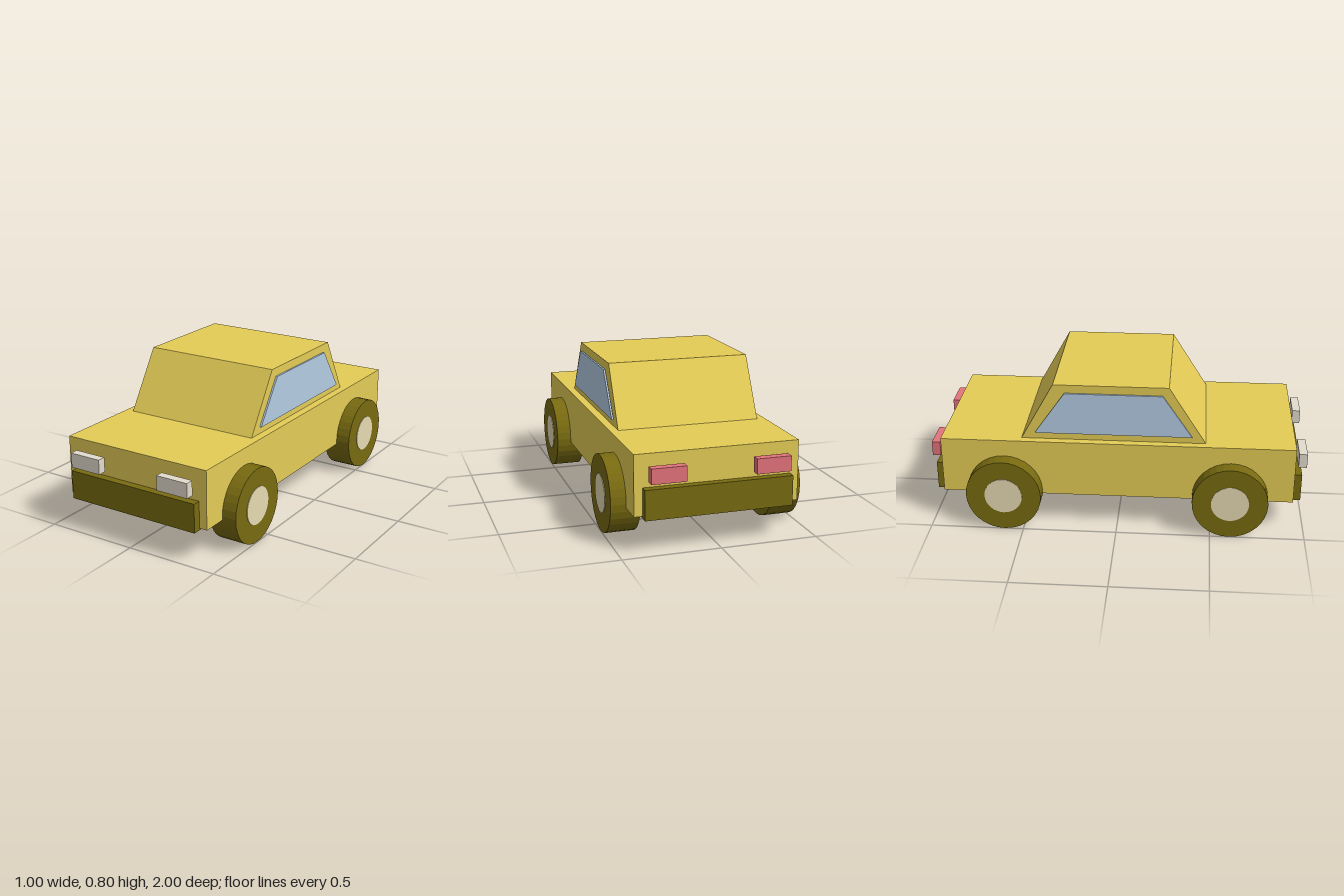
import * as THREE from 'three';

const mat = (name, color, flatShading = false) => {
  const m = new THREE.MeshStandardMaterial({ color, flatShading });
  m.name = name;
  return m;
};

export function createModel() {
  const paint = mat('yellow paint', 0xe4cc56);
  const dark = mat('dark olive', 0x786a10, true);
  const hubMat = mat('cream hub', 0xe6dab2);
  const glass = mat('pale blue glass', 0xb4cce4);
  const lampWhite = mat('white lamp', 0xe3dccd);
  const lampRed = mat('red lamp', 0xe2737a);

  const car = new THREE.Group();
  car.name = 'car';

  const add = (name, geometry, material, x = 0, y = 0, z = 0) => {
    const mesh = new THREE.Mesh(geometry, material);
    mesh.name = name;
    mesh.position.set(x, y, z);
    car.add(mesh);
    return mesh;
  };

  // Side outline given as [z, y] points, extruded across x from x0 to x1
  const sidePrism = (points, x0, x1) => {
    const shape = new THREE.Shape(points.map(([z, y]) => new THREE.Vector2(-z, y)));
    const g = new THREE.ExtrudeGeometry(shape, { depth: x1 - x0, bevelEnabled: false });
    g.rotateY(Math.PI / 2);
    g.translate(x0, 0, 0);
    return g;
  };

  // Lower body and tapered cabin
  add('body', new THREE.BoxGeometry(0.842, 0.31, 1.868), paint, 0, 0.335, 0);
  add('cabin', sidePrism([[0.467, 0.485], [-0.511, 0.485], [-0.335, 0.801], [0.267, 0.801]], -0.378, 0.378), paint);

  // Side windows
  const pane = [[0.392, 0.528], [-0.435, 0.528], [-0.275, 0.758], [0.235, 0.758]];
  add('leftWindow', sidePrism(pane, 0.3815, 0.391), glass);
  add('rightWindow', sidePrism(pane, -0.391, -0.3815), glass);

  // Bumpers and lamps at both ends
  for (const end of [1, -1]) {
    const front = end > 0;
    add(front ? 'frontBumper' : 'rearBumper', new THREE.BoxGeometry(0.756, 0.153, 0.066), dark, 0, 0.2465, end * 0.943);
    for (const side of [1, -1]) {
      add(front ? 'headlight' : 'tailLight', new THREE.BoxGeometry(0.178, 0.078, 0.044),
        front ? lampWhite : lampRed, side * 0.266, 0.394, end * 0.978);
    }
  }

  // Wheels with hubs that stand just proud of both tyre faces
  const tyre = new THREE.CylinderGeometry(0.2, 0.2, 0.152, 32).rotateZ(Math.PI / 2);
  const hub = new THREE.CylinderGeometry(0.1, 0.1, 0.158, 32).rotateZ(Math.PI / 2);
  for (const end of [1, -1]) {
    for (const side of [1, -1]) {
      const label = (end > 0 ? 'front' : 'rear') + (side > 0 ? 'Left' : 'Right');
      add(label + 'Tyre', tyre, dark, side * 0.423, 0.2, end * 0.6);
      add(label + 'Hub', hub, hubMat, side * 0.423, 0.2, end * 0.6);
    }
  }

  return car;
}
